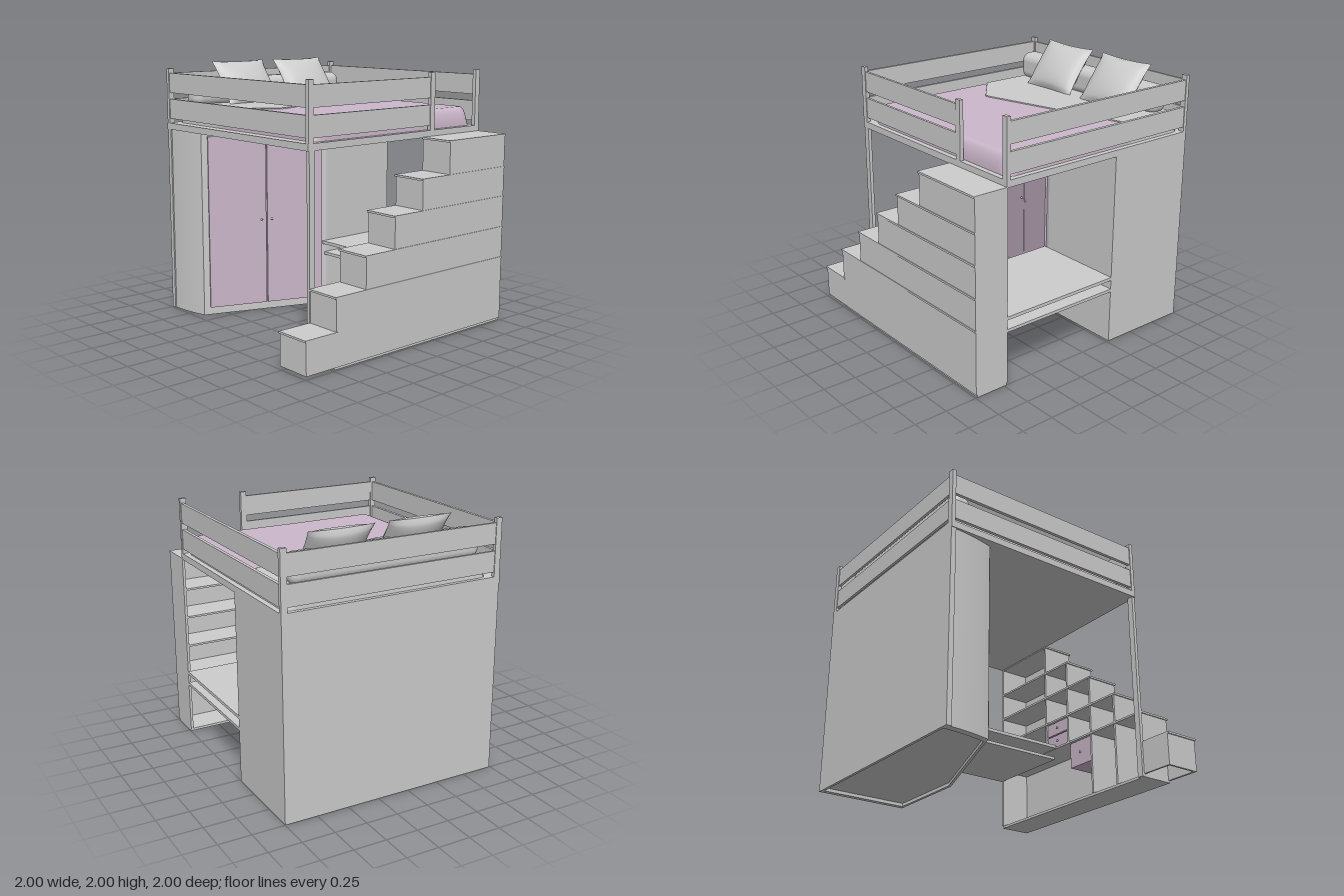
import * as THREE from 'three';
import { mergeGeometries } from 'three/addons/utils/BufferGeometryUtils.js';
import { RoundedBoxGeometry } from 'three/addons/geometries/RoundedBoxGeometry.js';

const material = (name, color, side = THREE.FrontSide) => {
  const m = new THREE.MeshStandardMaterial({ color, side });
  m.name = name;
  return m;
};

export function createModel() {
  const gray = material('paleGray', 0xcccccc);
  const pink = material('lilac', 0xcbb7ca);
  gray.side = pink.side = THREE.DoubleSide;
  const model = new THREE.Group();
  model.name = 'loftBed';

  const group = (name) => {
    const g = new THREE.Group();
    g.name = name;
    model.add(g);
    return g;
  };
  const add = (parent, name, geometry, mat = gray) => {
    const mesh = new THREE.Mesh(geometry, mat);
    mesh.name = name;
    parent.add(mesh);
    return mesh;
  };
  // Box given by its limits on each axis
  const box = (parent, name, [x0, x1], [y0, y1], [z0, z1], mat = gray) => {
    const mesh = add(parent, name, new THREE.BoxGeometry(x1 - x0, y1 - y0, z1 - z0), mat);
    mesh.position.set((x0 + x1) / 2, (y0 + y1) / 2, (z0 + z1) / 2);
    return mesh;
  };
  const knob = (parent, x, y, z) =>
    add(parent, 'knob', new THREE.SphereGeometry(0.009, 10, 8)).position.set(x, y, z);

  // Bed platform, corner posts and guard rails
  const frame = group('bedFrame');
  box(frame, 'platform', [-1, 0.73], [1.47, 1.52], [-1, 0.745]);
  for (const [x, z] of [[-1, -1], [-1, 0.695], [0.7, -1], [0.7, 0.695], [0.7, -0.497]])
    box(frame, 'post', [x, x + 0.03], [1.52, 1.95], [z, z + 0.047]);
  for (const y of [[1.555, 1.71], [1.76, 1.915]]) {
    box(frame, 'frontRail', [-0.97, 0.7], y, [0.71, 0.735]);
    box(frame, 'backRail', [-0.97, 0.7], y, [-0.995, -0.97]);
    box(frame, 'leftRail', [-0.995, -0.975], y, [-0.953, 0.695]);
    box(frame, 'stairRail', [0.705, 0.725], y, [-0.45, 0.695]);
  }
  box(frame, 'supportLeg', [0.703, 0.73], [0, 1.47], [0.685, 0.735]);

  // Bedding: a soft-edged surface divided along the folded blanket line
  const bed = { x0: -0.97, x1: 0.69, z0: -0.96, z1: 0.66 };
  const topHeight = (x, z) => {
    const R = 0.09, hx = (bed.x1 - bed.x0) / 2, hz = (bed.z1 - bed.z0) / 2;
    const qx = Math.abs(x - (bed.x0 + bed.x1) / 2) - hx + R;
    const qz = Math.abs(z - (bed.z0 + bed.z1) / 2) - hz + R;
    const d = R - Math.hypot(Math.max(qx, 0), Math.max(qz, 0)) - Math.min(Math.max(qx, qz), 0);
    const k = 1 - Math.min(Math.max(d / 0.06, 0), 1);
    return 1.515 + 0.15 * Math.sqrt(1 - k * k);
  };
  const foldLine = (z) => z < 0.29
    ? -0.45 + 0.34 * (z - bed.z0) / (0.29 - bed.z0)
    : -0.11 - 0.31 * (z - 0.29) / (bed.z1 - 0.29);
  const ease = (t) => (1 - Math.cos(Math.PI * t)) / 2;
  const bedding = (left, right, lift) => {
    const n = 48, g = new THREE.PlaneGeometry(1, 1, n, n), p = g.attributes.position;
    for (let j = 0; j <= n; j++) for (let i = 0; i <= n; i++) {
      const z = bed.z0 + (bed.z1 - bed.z0) * ease(j / n);
      const x = left(z) + (right(z) - left(z)) * ease(i / n);
      const h = topHeight(x, z);
      p.setXYZ(j * (n + 1) + i, x, h + (i < n && h > 1.6 ? lift : 0), z);
    }
    g.computeVertexNormals();
    return g;
  };
  const beds = group('bedding');
  add(beds, 'foldedSheet', bedding(() => bed.x0, foldLine, 0.008));
  add(beds, 'blanket', bedding(foldLine, () => bed.x1, 0), pink);
  add(beds, 'bolster', new RoundedBoxGeometry(0.175, 0.22, 1.51, 5, 0.07)).position.set(-0.835, 1.76, -0.125);

  // Leaning cushions with pinched corners
  const face = new THREE.PlaneGeometry(2, 2, 18, 18);
  const fp = face.attributes.position;
  for (let i = 0; i < fp.count; i++) {
    const u = fp.getX(i), v = fp.getY(i);
    const a = Math.max(1 - u * u, 0), b = Math.max(1 - v * v, 0);
    fp.setXYZ(i, 0.255 * u * (1 - 0.06 * b), 0.21 * v * (1 - 0.06 * a), 0.075 * Math.sqrt(a * b));
  }
  face.computeVertexNormals();
  const cushion = mergeGeometries([face, face.clone().rotateY(Math.PI)]);
  cushion.rotateY(Math.PI / 2).rotateZ(0.63);
  for (const z of [-0.48, 0.14]) add(beds, 'cushion', cushion).position.set(-0.75, 1.83, z);

  // Corner wardrobe with a slanted door front
  const wardrobe = group('wardrobe');
  const outline = (k) => {
    // k pulls the plan in toward its middle
    const P = (x, z) => [-0.65 + (x + 0.65) * k, -(-0.25 + (z + 0.25) * k)];
    const s = new THREE.Shape();
    s.moveTo(...P(-1, -1));
    s.lineTo(...P(-0.27, -1));
    s.lineTo(...P(-0.27, -0.3));
    s.lineTo(...P(-0.63, 0.68));
    s.quadraticCurveTo(...P(-0.8, 0.725), ...P(-0.96, 0.73));
    s.lineTo(...P(-1, 0.73));
    return s;
  };
  const slab = (shape, y0, y1) => new THREE.ExtrudeGeometry(shape,
    { depth: y1 - y0, bevelEnabled: false, curveSegments: 8 }).rotateX(-Math.PI / 2).translate(0, y0, 0);
  add(wardrobe, 'wardrobeBody', slab(outline(1), 0.025, 1.47));
  const plinth = outline(1);
  plinth.holes.push(outline(0.94));
  add(wardrobe, 'plinth', slab(plinth, 0, 0.025));
  box(wardrobe, 'cornerPost', [-1, -0.96], [0, 1.47], [0.69, 0.74]);
  const doors = group('wardrobeDoors');
  doors.position.set(-0.63, 0, 0.68);
  doors.rotation.y = Math.atan2(0.98, 0.36);
  for (const [x0, k] of [[0.05, 0.445], [0.53, 0.555]]) {
    box(doors, 'door', [x0, x0 + 0.47], [0.06, 1.435], [-0.005, 0.015], pink);
    knob(doors, k + (k < 0.5 ? 0.035 : 0.01), 0.75, 0.022);
  }

  // Desk top with a lower shelf
  const desk = group('desk');
  box(desk, 'deskTop', [-0.27, 0.72], [0.505, 0.53], [-1, -0.26]);
  box(desk, 'deskShelf', [-0.27, 0.72], [0.412, 0.435], [-1, -0.28]);

  // Staircase, open toward the desk as a bookcase
  const stairs = group('stairs');
  const front = [0.99, 0.725, 0.45, 0.175, -0.1, -0.38];
  const tops = [0.27, 0.515, 0.755, 0.995, 1.225, 1.475];
  const side = new THREE.Shape();
  side.moveTo(-1, 0.02);
  side.lineTo(front[0], 0.02);
  front.forEach((z, i) => {
    side.lineTo(z, tops[i] - 0.015);
    side.lineTo(front[i + 1] ?? -1, tops[i] - 0.015);
  });
  add(stairs, 'outerSide', new THREE.ExtrudeGeometry(side, { depth: 0.02, bevelEnabled: false })
    .rotateY(-Math.PI / 2).translate(0.995, 0, 0));
  box(stairs, 'stairBack', [0.72, 0.995], [0.02, 1.46], [-1, -0.98]);
  box(stairs, 'base', [0.73, 0.985], [0, 0.02], [-1, 0.73]);
  box(stairs, 'firstStepInnerSide', [0.72, 0.735], [0.02, 0.255], [0.725, 0.99]);
  front.forEach((z, i) => {
    box(stairs, 'riser', [0.725, 0.99], [i > 3 ? 0.515 : 0.02, tops[i] - 0.015], [z - 0.018, z]);
    // Treads run on to the back as shelves
    box(stairs, 'tread', [0.72, 1], [tops[i] - 0.015, tops[i]], [i ? -1 : 0.71, z + 0.01]);
  });
  // Small drawers inside the bookcase
  const drawer = ([y0, y1], [z0, z1]) => {
    box(stairs, 'drawer', [0.735, 0.95], [y0, y1], [z0, z1], pink);
    knob(stairs, 0.728, (y0 + y1) / 2, (z0 + z1) / 2);
  };
  drawer([0.52, 0.622], [-0.375, -0.122]);
  drawer([0.632, 0.735], [-0.375, -0.122]);
  drawer([0.29, 0.495], [-0.095, 0.152]);

  return model;
}
